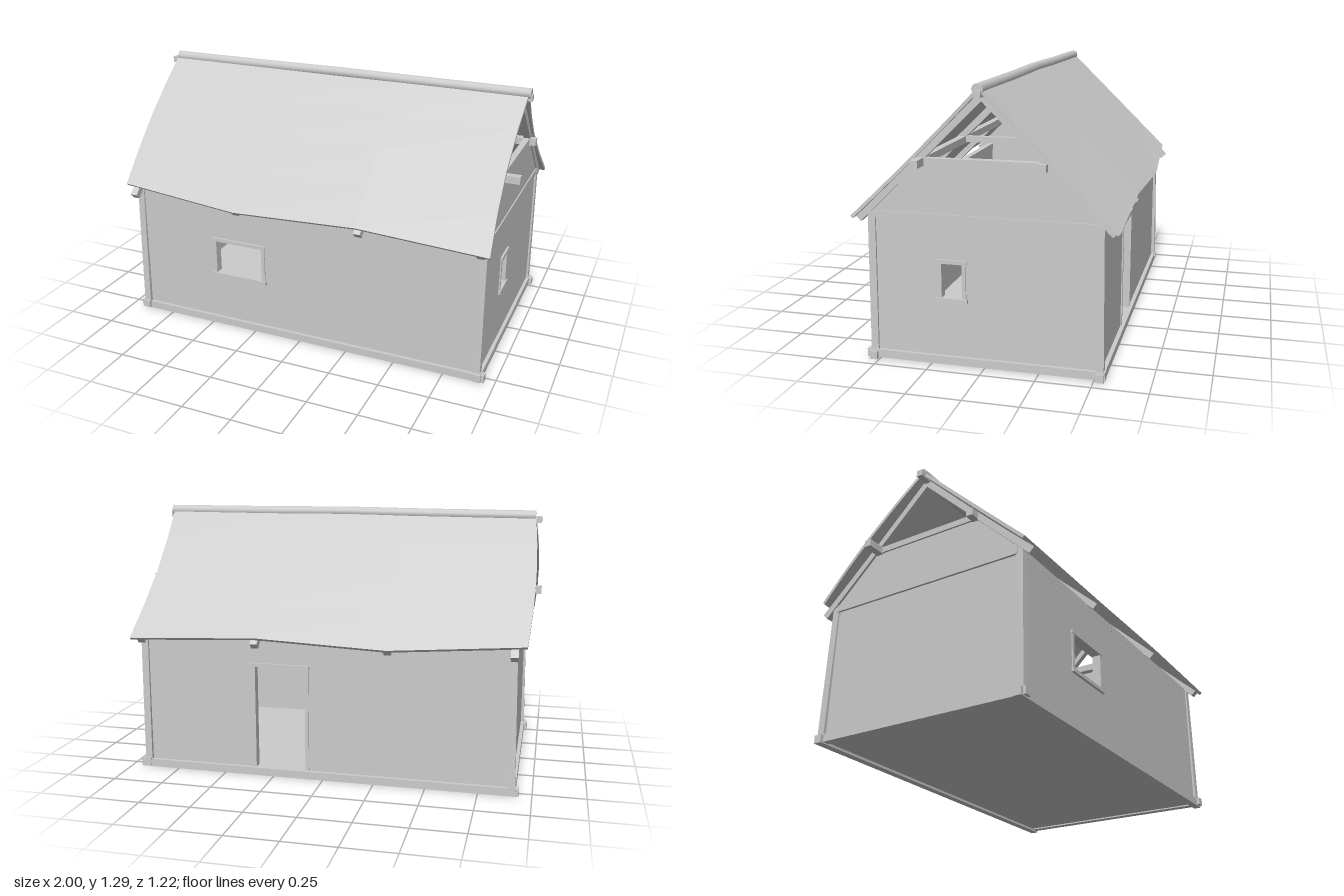
import * as THREE from 'three';

const mat = new THREE.MeshStandardMaterial({ color: 0xcccccc, flatShading: true, side: THREE.DoubleSide });
const smooth = new THREE.MeshStandardMaterial({ color: 0xcccccc });

function add(parent, name, geometry, material = mat) {
  const mesh = new THREE.Mesh(geometry, material);
  mesh.name = name;
  parent.add(mesh);
  return mesh;
}

// square timber between two points
function beam(parent, name, a, b, size = 0.035) {
  const from = new THREE.Vector3(...a), to = new THREE.Vector3(...b);
  const mesh = add(parent, name, new THREE.BoxGeometry(size, size, from.distanceTo(to)));
  if (Math.abs(to.y - from.y) > 0.9 * from.distanceTo(to)) mesh.up.set(0, 0, 1);
  mesh.position.copy(from).add(to).multiplyScalar(0.5);
  mesh.lookAt(to);
  return mesh;
}

// flat wall with an optional rectangular opening [x0, y0, x1, y1]
function wallGeometry(points, hole) {
  const shape = new THREE.Shape(points.map(p => new THREE.Vector2(...p)));
  if (hole) {
    const [x0, y0, x1, y1] = hole;
    shape.holes.push(new THREE.Path([[x0, y0], [x0, y1], [x1, y1], [x1, y0]].map(p => new THREE.Vector2(...p))));
  }
  return new THREE.ExtrudeGeometry(shape, { depth: 0.03, bevelEnabled: false });
}

// boards round an opening, centred on the wall thickness
function frame(parent, name, [x0, y0, x1, y1], hasSill) {
  const group = new THREE.Group();
  group.name = name;
  const board = (part, w, h, d, x, y) => add(group, part, new THREE.BoxGeometry(w, h, d)).position.set(x, y, 0.015);
  const cx = (x0 + x1) / 2, cy = (y0 + y1) / 2, t = 0.018;
  board('jamb', t, y1 - y0, 0.042, x0 - t / 2, cy);
  board('jamb', t, y1 - y0, 0.042, x1 + t / 2, cy);
  board('head', x1 - x0 + 0.045, t, 0.05, cx, y1 + t / 2);
  if (hasSill) board('sill', x1 - x0 + 0.05, t, 0.056, cx, y0 - t / 2);
  parent.add(group);
  return group;
}

// interpolate through values at x = -0.955, -0.32, 0.32, 0.955
function along(values, x) {
  const f = THREE.MathUtils.clamp((x + 0.955) / 1.91 * 3, 0, 2.9999), i = Math.floor(f);
  return THREE.MathUtils.lerp(values[i], values[i + 1], f - i);
}

// uneven roof slope: a thin slab bent to sagging eaves and skewed ends
function roofGeometry(side) {
  const g = new THREE.BoxGeometry(1.91, 1, 1, 3, 1, 4);
  const p = g.attributes.position;
  for (let i = 0; i < p.count; i++) {
    const x = p.getX(i), under = p.getY(i) < 0 ? 0.011 : 0;
    const u = side > 0 ? p.getZ(i) + 0.5 : 0.5 - p.getZ(i);
    const bow = Math.sin(u * Math.PI);
    const z = u * along([0.57, 0.607, 0.595, 0.608], x);
    const y = THREE.MathUtils.lerp(1.275, along([0.72, 0.68, 0.705, 0.68], x), u) - 0.005 * bow;
    p.setXYZ(i, x - 0.021 * bow * Math.abs(x), y - under, side * (z - under));
  }
  g.computeVertexNormals();
  return g;
}

export function createModel() {
  const house = new THREE.Group();
  house.name = 'house';

  // floor
  add(house, 'floor', new THREE.BoxGeometry(1.79, 0.016, 1.04)).position.y = 0.022;

  // long walls with window and door
  const long = [[-0.9, 0.015], [0.91, 0.015], [0.91, 0.69], [-0.9, 0.69]];
  const windowHole = [-0.465, 0.295, -0.21, 0.47], doorHole = [0.09, 0.04, 0.34, 0.55];
  add(house, 'frontWall', wallGeometry(long, windowHole)).position.z = 0.499;
  frame(house, 'frontWindowFrame', windowHole, true).position.z = 0.499;
  add(house, 'backWall', wallGeometry(long, doorHole)).position.z = -0.526;
  frame(house, 'doorFrame', doorHole, false).position.z = -0.526;

  // gable walls, open above the collar beam
  const gable = [[-0.525, 0.015], [0.525, 0.015], [0.525, 0.7], [0.275, 0.94], [-0.275, 0.94], [-0.525, 0.7]];
  const smallHole = [0.1, 0.32, 0.195, 0.48];
  const rightWall = add(house, 'gableWallWithWindow', wallGeometry(gable, smallHole));
  rightWall.rotation.y = -Math.PI / 2;
  rightWall.position.x = 0.919;
  const smallFrame = frame(house, 'gableWindowFrame', smallHole, true);
  smallFrame.rotation.y = -Math.PI / 2;
  smallFrame.position.x = 0.919;
  const leftWall = add(house, 'plainGableWall', wallGeometry(gable));
  leftWall.rotation.y = -Math.PI / 2;
  leftWall.position.x = -0.876;

  // sills, corner posts and wall plates
  for (const s of [1, -1]) {
    beam(house, 'longSill', [-0.94, 0.021, s * 0.527], [0.95, 0.021, s * 0.527], 0.038);
    beam(house, 'crossSill', [s > 0 ? 0.917 : -0.905, 0.027, -0.55], [s > 0 ? 0.917 : -0.905, 0.027, 0.56], 0.038);
    beam(house, 'cornerPost', [-0.905, 0.02, s * 0.53], [-0.895, 0.7, s * 0.518]);
    beam(house, 'cornerPost', [0.912, 0.02, s * 0.525], [0.91, 0.7, s * 0.518]);
    beam(house, 'wallPlate', [-0.91, 0.68, s * 0.512], [0.92, 0.68, s * 0.512]);
  }

  // roof frames: rafters, tie beam and collar beam
  for (const x of [-0.9, -0.32, 0.325, 0.908]) {
    for (const s of [1, -1]) beam(house, 'rafter', [x, 1.232, 0], [x, 0.663, s * 0.583]);
    beam(house, 'tieBeam', [x, 0.687, -0.51], [x, 0.687, 0.51], 0.034);
    beam(house, 'collarBeam', [x, 0.938, -0.28], [x, 0.938, 0.28], 0.03);
  }

  // purlins and ridge beam
  beam(house, 'frontPurlin', [-0.96, 0.936, 0.283], [1, 0.936, 0.283]);
  beam(house, 'backPurlin', [-1, 0.936, -0.272], [0.955, 0.936, -0.272]);
  beam(house, 'ridgeBeam', [-0.985, 1.243, 0.004], [0.972, 1.243, 0.004], 0.032);

  // roof slopes and rounded ridge cap
  add(house, 'frontRoof', roofGeometry(1));
  add(house, 'backRoof', roofGeometry(-1));
  const capPath = new THREE.CatmullRomCurve3([[-0.955, 1.262, -0.004], [-0.32, 1.264, 0], [0, 1.267, 0.004],
    [0.32, 1.264, 0.002], [0.965, 1.262, 0.004]].map(p => new THREE.Vector3(...p)));
  add(house, 'ridgeCap', new THREE.TubeGeometry(capPath, 12, 0.026, 10), smooth);
  for (const t of [0, 1]) {
    const end = add(house, 'ridgeCapEnd', new THREE.CircleGeometry(0.026, 10));
    end.position.copy(capPath.getPoint(t));
    end.rotation.y = t ? Math.PI / 2 : -Math.PI / 2;
  }
  return house;
}
